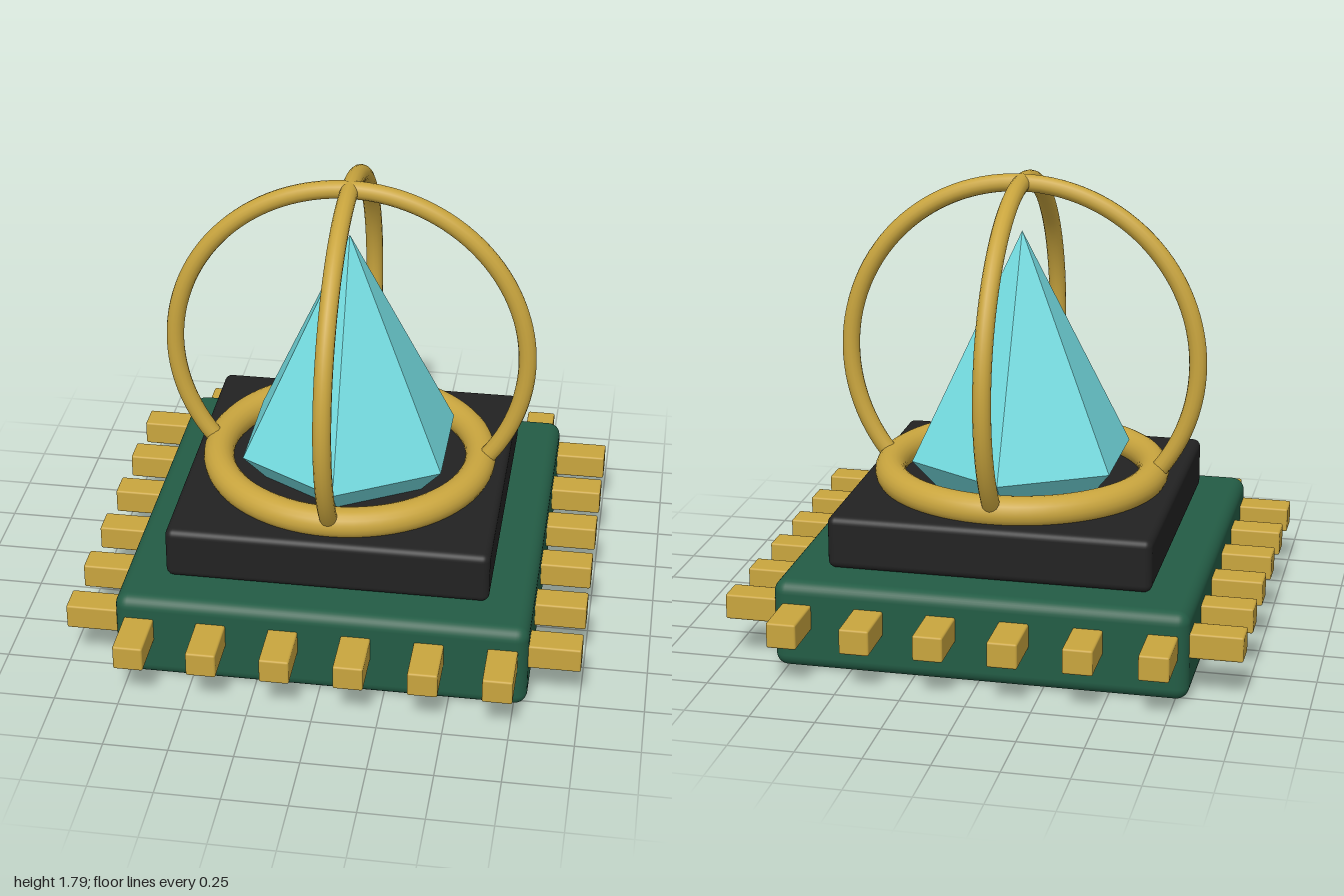
import * as THREE from 'three';
import { RoundedBoxGeometry } from 'three/addons/geometries/RoundedBoxGeometry.js';

const material = (name, color) => {
  const m = new THREE.MeshStandardMaterial({ color });
  m.name = name;
  return m;
};

export function createModel() {
  const model = new THREE.Group();
  model.name = 'crystalOnChip';

  const green = material('boardGreen', 0x235c45);
  const black = material('packageBlack', 0x222222);
  const gold = material('gold', 0xc9a53e);
  const cyan = material('crystalCyan', 0x74dce0);
  cyan.flatShading = true;

  const add = (parent, name, geometry, mat, x = 0, y = 0, z = 0) => {
    const mesh = new THREE.Mesh(geometry, mat);
    mesh.name = name;
    mesh.position.set(x, y, z);
    parent.add(mesh);
    return mesh;
  };

  // Stacked base: circuit board and chip package
  add(model, 'board', new RoundedBoxGeometry(1.6, 0.35, 1.6, 4, 0.05), green, 0, 0.175, 0);
  add(model, 'chipPackage', new RoundedBoxGeometry(1.26, 0.21, 1.26, 4, 0.03), black, 0, 0.457, 0);

  // Six contact pins on each of the four sides
  const pinGeometry = new RoundedBoxGeometry(0.115, 0.1, 0.24, 2, 0.008);
  for (let side = 0; side < 4; side++) {
    const row = new THREE.Group();
    row.name = 'pinRow';
    row.rotation.y = side * Math.PI / 2;
    for (let i = 0; i < 6; i++) {
      add(row, 'pin', pinGeometry, gold, (i - 2.5) * 0.2815, 0.215, 0.88);
    }
    model.add(row);
  }

  // Collar ring lying on the package
  const ring = add(model, 'collarRing', new THREE.TorusGeometry(0.526, 0.061, 20, 72), gold, 0, 0.6, 0);
  ring.rotation.x = Math.PI / 2;

  // Hexagonal crystal: tall point above a short tapered foot
  const crystal = new THREE.Group();
  crystal.name = 'crystal';
  add(crystal, 'crystalPoint', new THREE.CylinderGeometry(0, 0.455, 0.9, 6, 1, true), cyan, 0, 1.12, 0);
  add(crystal, 'crystalFoot', new THREE.CylinderGeometry(0.455, 0.35, 0.12, 6, 1, true), cyan, 0, 0.61, 0);
  model.add(crystal);

  // Two crossing arches, open at the bottom where they meet the collar
  const dip = THREE.MathUtils.degToRad(38);
  const archGeometry = new THREE.TorusGeometry(0.7, 0.035, 14, 80, Math.PI + 2 * dip);
  archGeometry.rotateZ(-dip);
  for (const turn of [0, Math.PI / 2]) {
    const arch = add(model, 'arch', archGeometry, gold, 0, 1.06, 0);
    arch.rotation.y = turn;
    // Rounded arch ends
    for (const s of [-1, 1]) {
      add(arch, 'archEnd', new THREE.SphereGeometry(0.035, 14, 10), gold,
        s * 0.7 * Math.cos(dip), -0.7 * Math.sin(dip), 0);
    }
  }

  return model;
}
